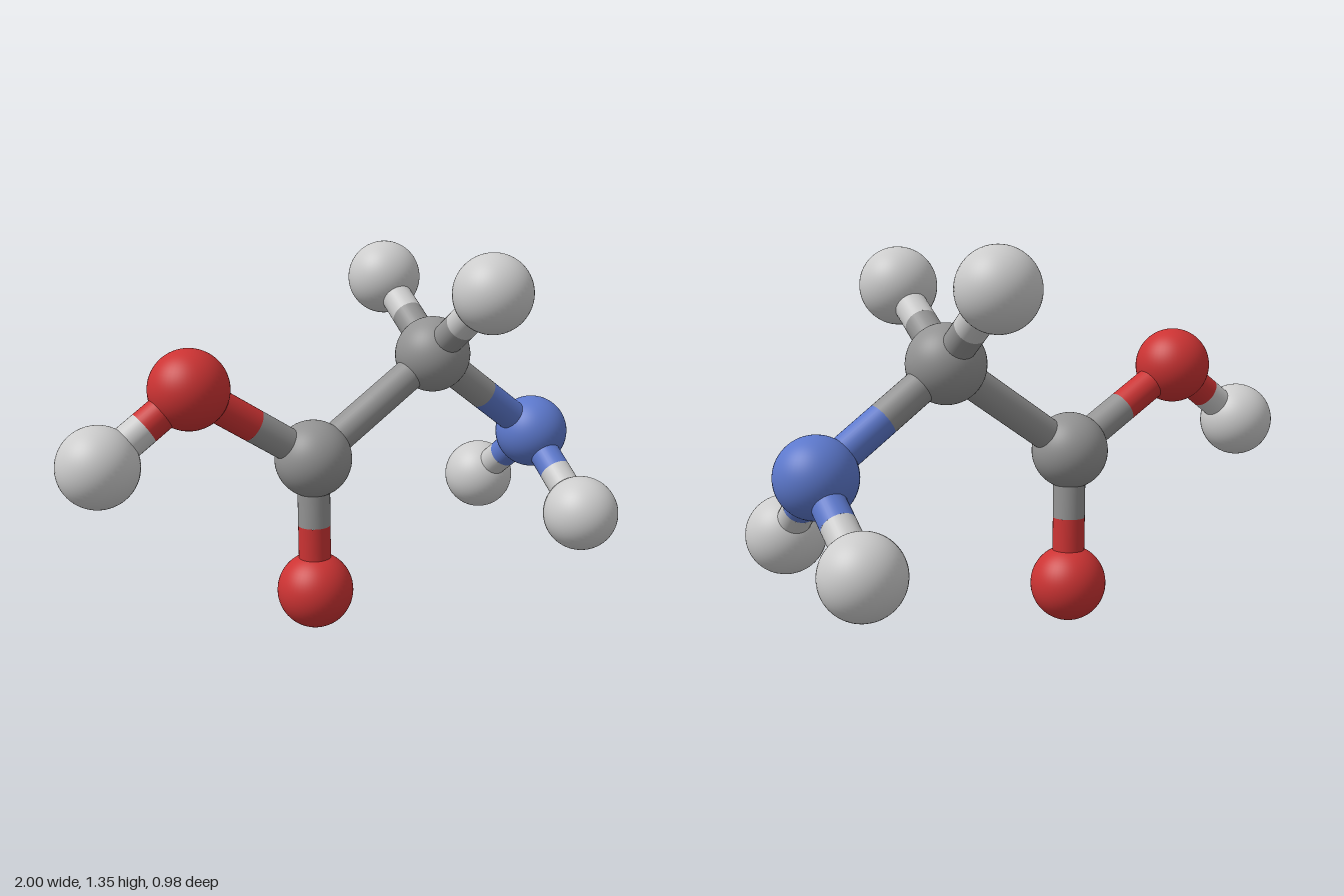
import * as THREE from 'three';

const ATOM_RADIUS = 0.137;
const BOND_RADIUS = 0.058;

const material = (name, color) => {
  const m = new THREE.MeshStandardMaterial({ color });
  m.name = name;
  return m;
};

export function createModel() {
  const model = new THREE.Group();
  model.name = 'molecule';

  const grey = material('carbon grey', 0x939393);
  const white = material('hydrogen pale grey', 0xcccccc);
  const red = material('oxygen red', 0xcc3333);
  const blue = material('nitrogen blue', 0x5c78cc);

  // Atom centres and colours
  const atoms = {
    carboxylCarbon: [grey, -0.094, 0.625, -0.003],
    alphaCarbon: [grey, 0.397, 0.961, -0.003],
    carbonylOxygen: [red, -0.086, 0.137, -0.006],
    hydroxylOxygen: [red, -0.548, 0.909, -0.01],
    hydroxylHydrogen: [white, -0.863, 0.682, -0.015],
    nitrogen: [blue, 0.863, 0.625, -0.008],
    alphaHydrogenFront: [white, 0.4, 1.21, 0.354],
    alphaHydrogenBack: [white, 0.396, 1.215, -0.355],
    amineHydrogenFront: [white, 0.856, 0.375, 0.314],
    amineHydrogenBack: [white, 0.851, 0.38, -0.334],
  };

  const bonds = [
    ['carboxylCarbon', 'alphaCarbon'],
    ['carboxylCarbon', 'carbonylOxygen'],
    ['carboxylCarbon', 'hydroxylOxygen'],
    ['hydroxylOxygen', 'hydroxylHydrogen'],
    ['alphaCarbon', 'nitrogen'],
    ['alphaCarbon', 'alphaHydrogenFront'],
    ['alphaCarbon', 'alphaHydrogenBack'],
    ['nitrogen', 'amineHydrogenFront'],
    ['nitrogen', 'amineHydrogenBack'],
  ];

  const centre = (name) => new THREE.Vector3(...atoms[name].slice(1));

  // Atoms
  const ball = new THREE.SphereGeometry(ATOM_RADIUS, 48, 32);
  for (const name in atoms) {
    const mesh = new THREE.Mesh(ball, atoms[name][0]);
    mesh.name = name;
    mesh.position.copy(centre(name));
    model.add(mesh);
  }

  // Half a bond, from an atom to the bond's midpoint
  const up = new THREE.Vector3(0, 1, 0);
  const halfBond = (from, to) => {
    const a = centre(from);
    const mid = a.clone().lerp(centre(to), 0.5);
    const axis = mid.clone().sub(a);
    const geometry = new THREE.CylinderGeometry(BOND_RADIUS, BOND_RADIUS, axis.length(), 32, 1, true);
    const mesh = new THREE.Mesh(geometry, atoms[from][0]);
    mesh.name = `${from}HalfBond`;
    mesh.position.copy(a).lerp(mid, 0.5);
    mesh.quaternion.setFromUnitVectors(up, axis.normalize());
    return mesh;
  };

  // Bonds, each half coloured like its atom
  for (const [a, b] of bonds) {
    const bond = new THREE.Group();
    bond.name = `${a} to ${b} bond`;
    bond.add(halfBond(a, b), halfBond(b, a));
    model.add(bond);
  }

  return model;
}
